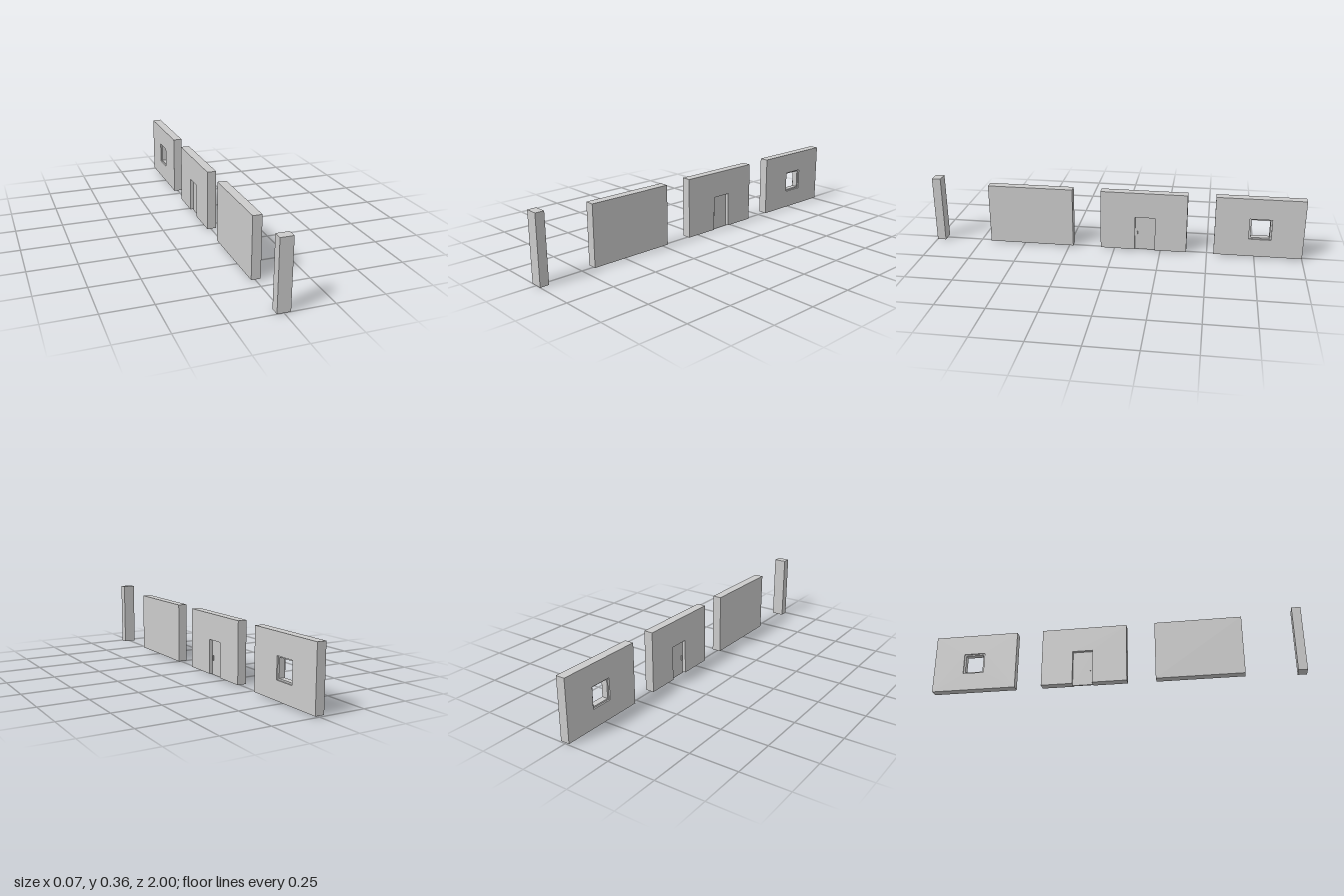
import * as THREE from 'three';

const material = new THREE.MeshStandardMaterial({ color: 0xcccccc, flatShading: true });
const HALF = 0.024, BASE = 0.006, TOP = 0.33;

function box(name, [x0, x1], [y0, y1], [z0, z1]) {
  const mesh = new THREE.Mesh(new THREE.BoxGeometry(x1 - x0, y1 - y0, z1 - z0), material);
  mesh.position.set((x0 + x1) / 2, (y0 + y1) / 2, (z0 + z1) / 2);
  mesh.name = name;
  return mesh;
}

const rect = (Type, z0, z1, y0, y1) =>
  new Type([[z0, y0], [z1, y0], [z1, y1], [z0, y1]].map(p => new THREE.Vector2(...p)));

// Extrudes an outline drawn in (z, y) between two x positions
function slab(name, shape, x0, x1) {
  const geometry = new THREE.ExtrudeGeometry(shape, { depth: x1 - x0, bevelEnabled: false });
  geometry.rotateY(-Math.PI / 2).translate(x1, 0, 0);
  const mesh = new THREE.Mesh(geometry, material);
  mesh.name = name;
  return mesh;
}

export function createModel() {
  const model = new THREE.Group();

  // Corner post and plain wall
  model.add(box('cornerPost', [-0.033, 0.033], [0, 0.358], [0.953, 1]));
  model.add(box('plainWall', [-HALF, HALF], [BASE, TOP], [0.227, 0.69]));

  // Wall with a doorway cut up from its base
  const doorWall = new THREE.Group();
  doorWall.name = 'doorWall';
  const outline = new THREE.Shape([
    [-0.39, BASE], [-0.22, BASE], [-0.22, 0.192], [-0.112, 0.192],
    [-0.112, BASE], [0.074, BASE], [0.074, TOP], [-0.39, TOP],
  ].map(p => new THREE.Vector2(...p)));
  doorWall.add(slab('doorWallPanel', outline, -HALF, HALF));
  // Thin door set in the middle of the doorway, a handle on each face
  doorWall.add(box('door', [-0.006, 0.004], [0, 0.192], [-0.22, -0.112]));
  doorWall.add(box('doorHandleLeft', [0.004, 0.01], [0.079, 0.105], [-0.126, -0.121]));
  doorWall.add(box('doorHandleRight', [-0.012, -0.006], [0.079, 0.105], [-0.126, -0.121]));
  model.add(doorWall);

  // Wall with a window opening and a shallow rebate around it on both faces
  const windowWall = new THREE.Group();
  windowWall.name = 'windowWall';
  const wall = rect(THREE.Shape, -1, -0.536, BASE, TOP);
  wall.holes.push(rect(THREE.Path, -0.832, -0.716, 0.104, 0.218));
  windowWall.add(slab('windowWallPanel', wall, -HALF, HALF));
  const frame = rect(THREE.Shape, -0.832, -0.716, 0.104, 0.218);
  frame.holes.push(rect(THREE.Path, -0.823, -0.725, 0.112, 0.211));
  windowWall.add(slab('windowFrame', frame, -0.016, 0.016));
  model.add(windowWall);

  return model;
}
